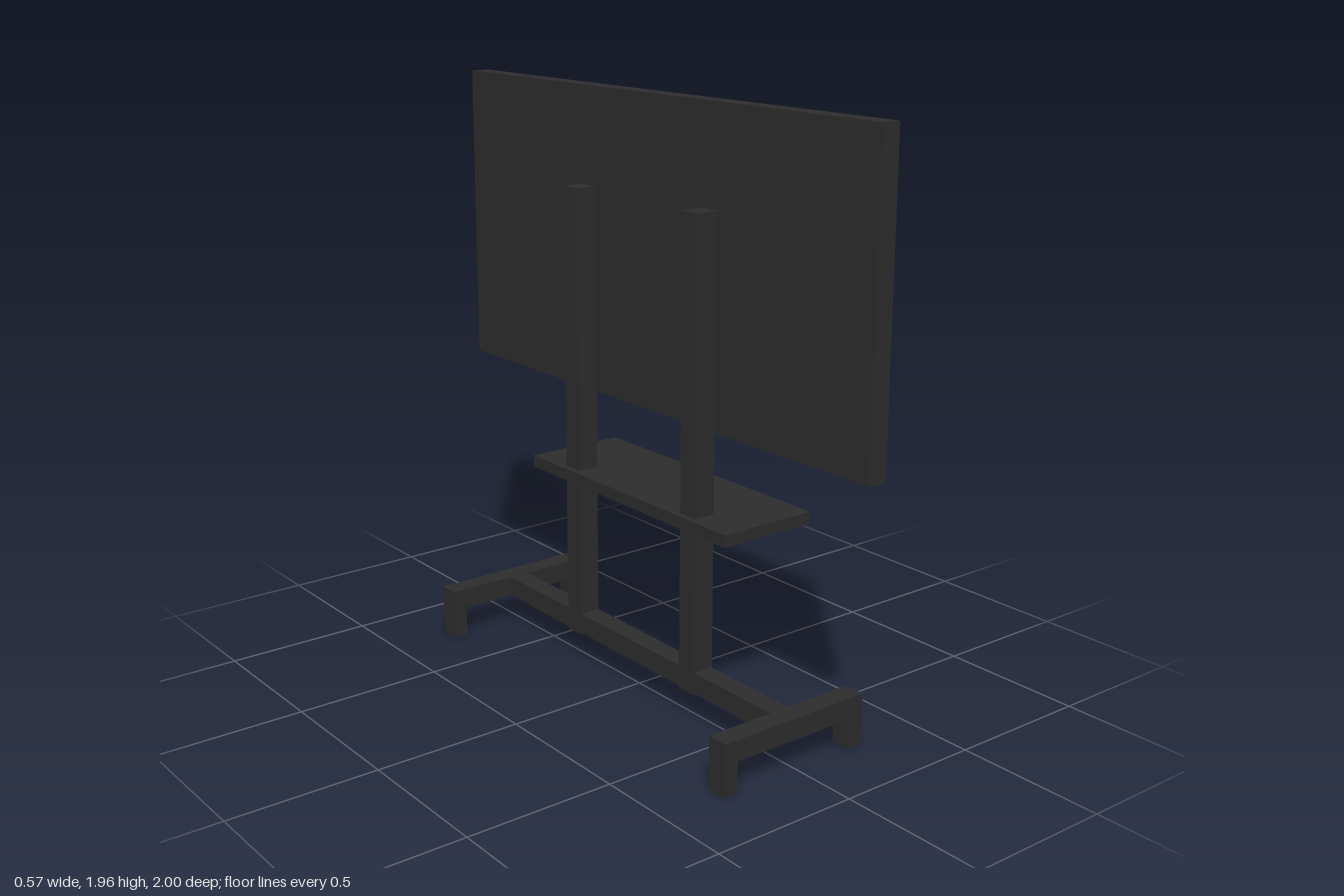
import * as THREE from 'three';

const dark = new THREE.MeshStandardMaterial({ color: 0x2c2c2c });
const grey = new THREE.MeshStandardMaterial({ color: 0xcccccc });

// Box given by its lower and upper corners
function box(name, [x0, y0, z0], [x1, y1, z1], material = dark) {
  const mesh = new THREE.Mesh(new THREE.BoxGeometry(x1 - x0, y1 - y0, z1 - z0), material);
  mesh.position.set((x0 + x1) / 2, (y0 + y1) / 2, (z0 + z1) / 2);
  mesh.name = name;
  return mesh;
}

const outline = (points) => points.map(([x, y]) => new THREE.Vector2(x, y));
const rect = (x0, y0, x1, y1) => outline([[x0, y0], [x1, y0], [x1, y1], [x0, y1]]);

export function createModel() {
  const model = new THREE.Group();
  model.name = 'screenStand';

  // Display, facing +x: solid back, bezel with an opening, slightly sunken panel
  const display = new THREE.Group();
  display.name = 'display';
  const bezelShape = new THREE.Shape(rect(-1, 0.953, 1, 1.963));
  bezelShape.holes.push(new THREE.Path(rect(-0.951, 0.974, 0.951, 1.942)));
  const bezel = new THREE.Mesh(
    new THREE.ExtrudeGeometry(bezelShape, { depth: 0.02, bevelEnabled: false }), dark);
  bezel.name = 'bezel';
  bezel.rotation.y = Math.PI / 2;
  bezel.position.x = 0.078;
  display.add(
    box('displayBack', [0.033, 0.953, -1], [0.078, 1.963, 1]),
    bezel,
    box('screenPanel', [0.078, 0.974, -0.951], [0.093, 1.942, 0.951], grey));
  model.add(display);

  // Shelf and the beam joining the feet
  model.add(
    box('shelf', [-0.068, 0.65, -0.507], [0.283, 0.69, 0.507]),
    box('baseBeam', [-0.046, 0.103, -0.703], [0.026, 0.173, 0.703]));

  // Foot profile: a bar with a short leg at each end
  const footShape = new THREE.Shape(outline([
    [-0.287, 0], [-0.237, 0], [-0.237, 0.103], [0.22, 0.103],
    [0.22, 0], [0.271, 0], [0.271, 0.173], [-0.287, 0.173],
  ]));
  const footGeometry = new THREE.ExtrudeGeometry(footShape, { depth: 0.072, bevelEnabled: false });
  footGeometry.translate(0, 0, -0.036);

  // Uprights and feet, mirrored front to back
  for (const [side, s] of [['front', 1], ['back', -1]]) {
    const z = s * 0.305;
    model.add(box(side + 'Post', [-0.048, 0.097, z - 0.036], [0.028, 1.643, z + 0.036]));
    const foot = new THREE.Mesh(footGeometry, dark);
    foot.name = side + 'Foot';
    foot.position.z = s * 0.739;
    model.add(foot);
  }
  return model;
}
